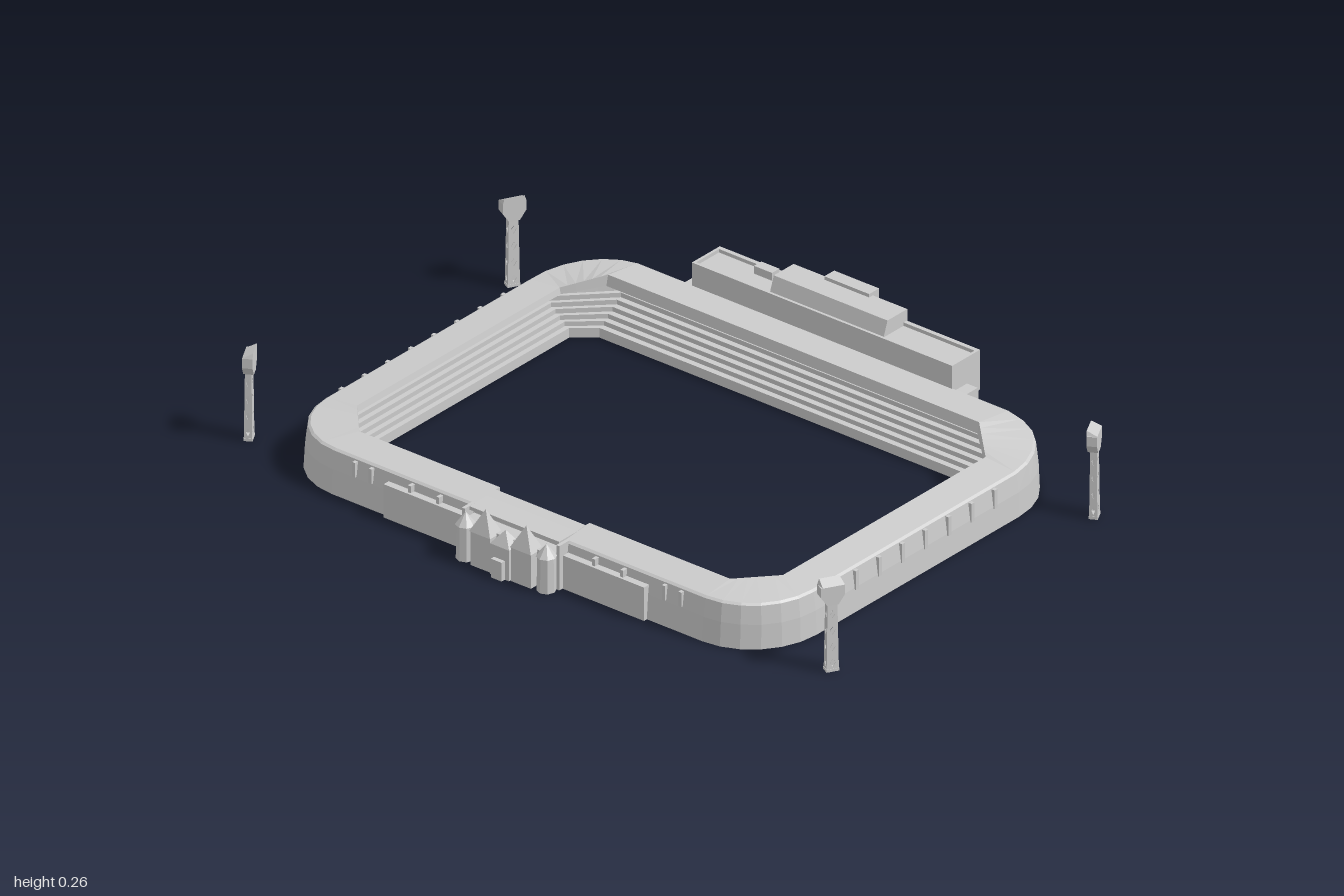
import * as THREE from 'three';

const grey = new THREE.MeshStandardMaterial({ color: 0xcccccc, flatShading: true, side: THREE.DoubleSide });

function add(parent, name, geo, x = 0, y = 0, z = 0) {
  const m = new THREE.Mesh(geo, grey);
  m.name = name;
  m.position.set(x, y, z);
  parent.add(m);
  return m;
}

// Box given by its minimum and maximum corners
function block(parent, name, x0, x1, y0, y1, z0, z1) {
  return add(parent, name, new THREE.BoxGeometry(x1 - x0, y1 - y0, z1 - z0), (x0 + x1) / 2, (y0 + y1) / 2, (z0 + z1) / 2);
}

const polygon = pts => new THREE.Shape(pts.map(p => new THREE.Vector2(p[0], p[1])));
const extrude = (shape, depth) => new THREE.ExtrudeGeometry(shape, { depth, bevelEnabled: false });

// Square pyramid roof aligned with the axes
function spire(parent, name, x, y, z, w, d, h) {
  const g = new THREE.ConeGeometry(Math.SQRT1_2, 1, 4);
  g.rotateY(Math.PI / 4);
  g.scale(w, h, d);
  return add(parent, name, g, x, y + h / 2, z);
}

// Stand ring: cross-section lofted around a rounded rectangle
function bowlGeometry() {
  const cx = 0.62, cf = 0.43, cb = 0.39;
  // half width, back z, front z, height, extra height at the back, chamfered corner
  const rings = [
    [0.825, -0.61, 0.645, 0, 0, 0],
    [0.822, -0.607, 0.64, 0.07, 0.005, 0],
    [0.815, -0.60, 0.633, 0.122, 0.025, 0],
    [0.808, -0.593, 0.626, 0.127, 0.027, 0],
    [0.712, -0.475, 0.532, 0.136, 0.034, 1],
    [0.708, -0.468, 0.53, 0.118, 0.022, 1],
    [0.775, -0.55, 0.595, 0.112, 0.015, 1]
  ];
  const steps = 6;
  for (let i = 0; i < steps; i++) {
    const k = i / steps, k2 = (i + 1) / steps, y = 0.095 - 0.08 * k;
    const at = (t, yy) => rings.push([0.77 - 0.09 * t, -0.545 + 0.105 * t, 0.59 - 0.1 * t, yy, 0, 1]);
    at(k, y);
    at(k2, y);
  }
  rings.push([0.68, -0.44, 0.49, 0, 0, 1]);

  const stations = [{ x: 0.15, gap: true }, { x: 0.15 }];
  const corner = (sx, sz, up) => {
    for (let i = 0; i <= 6; i++) stations.push({ sx, sz, t: up ? i / 6 : 1 - i / 6 });
  };
  corner(1, 1, false);
  corner(1, -1, true);
  corner(-1, -1, false);
  corner(-1, 1, true);
  stations.push({ x: -0.15 }, { x: -0.15, gap: true });

  const point = (s, [hx, zb, zf, y, rise, chamfer]) => {
    if (s.x !== undefined) return [s.x, y, s.gap ? Math.max(zf, 0.548) : zf];
    const a = s.t * Math.PI / 2;
    const u = chamfer ? 1 - s.t : Math.cos(a), v = chamfer ? s.t : Math.sin(a);
    const z = s.sz > 0 ? cf + (zf - cf) * v : -cb + (zb + cb) * v;
    return [s.sx * (cx + (hx - cx) * u), y + (s.sz < 0 ? rise * s.t : 0), z];
  };

  const pos = [];
  stations.forEach((s, i) => {
    const n = stations[(i + 1) % stations.length];
    rings.forEach((r, j) => {
      const q = rings[(j + 1) % rings.length];
      const a = point(s, r), b = point(n, r), c = point(n, q), d = point(s, q);
      pos.push(...a, ...b, ...c, ...a, ...c, ...d);
    });
  });
  const g = new THREE.BufferGeometry();
  g.setAttribute('position', new THREE.Float32BufferAttribute(pos, 3));
  g.computeVertexNormals();
  return g;
}

// Main entrance with pointed roofs
function entrance() {
  const g = new THREE.Group();
  g.name = 'entrance';
  block(g, 'entranceHall', -0.15, 0.15, 0, 0.105, 0.63, 0.685);
  block(g, 'entranceRoof', -0.15, 0.15, 0.122, 0.132, 0.575, 0.655);
  block(g, 'porch', -0.032, 0.032, 0, 0.09, 0.68, 0.715);
  spire(g, 'porchRoof', 0, 0.09, 0.69, 0.064, 0.05, 0.04);
  block(g, 'doorFrame', -0.018, 0.018, 0, 0.055, 0.715, 0.728);
  for (const s of [-1, 1]) {
    block(g, 'gateTower', s * 0.068 - 0.033, s * 0.068 + 0.033, 0, 0.1, 0.66, 0.71);
    spire(g, 'gateTowerRoof', s * 0.068, 0.1, 0.688, 0.07, 0.05, 0.066);
    add(g, 'sideTurret', new THREE.CylinderGeometry(0.024, 0.026, 0.1, 8), s * 0.135, 0.05, 0.688);
    add(g, 'sideTurretRoof', new THREE.ConeGeometry(0.028, 0.036, 8), s * 0.135, 0.118, 0.688);
    block(g, 'sidePier', s * 0.158 - 0.005, s * 0.158 + 0.005, 0, 0.13, 0.63, 0.67);
  }
  return g;
}

// Office block behind the main stand
function backBuilding() {
  const g = new THREE.Group();
  g.name = 'backBuilding';
  block(g, 'lowerStorey', -0.435, 0.435, 0, 0.11, -0.675, -0.59);
  block(g, 'upperStorey', -0.435, 0.435, 0.11, 0.212, -0.69, -0.59);
  const top = extrude(polygon([[0.605, 0.2], [0.625, 0.255], [0.705, 0.255], [0.705, 0.2]]), 0.38);
  top.rotateY(Math.PI / 2);
  add(g, 'topStorey', top, -0.19, 0, 0);
  block(g, 'stairWing', -0.16, 0.16, 0, 0.245, -0.715, -0.67);
  block(g, 'stairTower', -0.075, 0.075, 0, 0.265, -0.73, -0.69);
  block(g, 'roofHut', -0.285, -0.225, 0.21, 0.235, -0.69, -0.66);
  block(g, 'parapetFront', -0.435, 0.435, 0.21, 0.222, -0.598, -0.59);
  for (const s of [-1, 1]) {
    // Facade with two rows of window openings
    const wall = polygon([[0.16, 0.105], [0.435, 0.105], [0.435, 0.222], [0.16, 0.222]]);
    for (let i = 0; i < 6; i++) for (const y of [0.135, 0.178]) {
      const x = 0.175 + i * 0.043;
      wall.holes.push(new THREE.Path([[x, y], [x, y + 0.024], [x + 0.024, y + 0.024], [x + 0.024, y]].map(p => new THREE.Vector2(...p))));
    }
    const geo = extrude(wall, 0.013);
    if (s < 0) geo.translate(-0.595, 0, 0);
    add(g, 'windowWall', geo, 0, 0, -0.703);
    block(g, 'parapetEnd', s * 0.431 - 0.004, s * 0.431 + 0.004, 0.21, 0.222, -0.69, -0.59);
    block(g, 'sideAnnex', s * 0.453 - 0.018, s * 0.453 + 0.018, 0, 0.145, -0.65, -0.59);
    for (const x of [0.2, 0.28, 0.35, 0.425]) block(g, 'pier', s * x - 0.008, s * x + 0.008, 0, 0.11, -0.7, -0.67);
    block(g, 'lowBay', s * 0.24 - 0.035, s * 0.24 + 0.035, 0, 0.088, -0.718, -0.67);
  }
  return g;
}

// Floodlight mast: perforated tapering shaft and flared lamp head
function floodlight(x, z) {
  const g = new THREE.Group();
  g.name = 'floodlight';
  for (let k = 0; k < 4; k++) {
    const w = k % 2 ? 0.011 : 0.017, off = k % 2 ? 0.017 : 0.011;
    const plate = polygon([[-w, 0], [w, 0], [w * 0.8, 0.2], [-w * 0.8, 0.2]]);
    for (const y of [0.025, 0.072, 0.12, 0.168]) {
      const h = w * 0.45;
      plate.holes.push(new THREE.Path([[0, y - 0.012], [-h, y], [0, y + 0.012], [h, y]].map(p => new THREE.Vector2(...p))));
    }
    const geo = extrude(plate, 0.002);
    geo.translate(0, 0, off - 0.002);
    const p = geo.attributes.position;
    for (let i = 0; i < p.count; i++) p.setZ(i, p.getZ(i) * (1 - p.getY(i)));
    geo.rotateY(k * Math.PI / 2);
    add(g, 'mastPlate', geo);
  }
  block(g, 'mastFoot', -0.018, 0.018, 0, 0.008, -0.012, 0.012);
  const head = extrude(polygon([[-0.015, 0.195], [0.015, 0.195], [0.033, 0.222], [0.033, 0.25], [0.028, 0.265], [-0.028, 0.265], [-0.033, 0.25], [-0.033, 0.222]]), 0.028);
  const hp = head.attributes.position;
  for (let i = 0; i < hp.count; i++) if (hp.getY(i) > 0.26 && hp.getZ(i) < 0.01) hp.setY(i, 0.25);
  add(g, 'lampHead', head, 0, 0, -0.013);
  g.position.set(x, 0, z);
  g.rotation.y = Math.atan2(-x, -z);
  return g;
}

export function createModel() {
  const model = new THREE.Group();
  model.name = 'stadium';
  add(model, 'standRing', bowlGeometry());

  // Ribs along the outer walls
  for (const s of [-1, 1]) {
    for (let i = 0; i < 8; i++) {
      const z = 0.36 - i * 0.0935;
      block(model, 'sideRib', s * 0.819 - 0.007, s * 0.819 + 0.007, 0.065, 0.12, z - 0.006, z + 0.006);
    }
    for (const x of [0.49, 0.545]) {
      block(model, 'frontRib', s * x - 0.005, s * x + 0.005, 0.075, 0.118, 0.63, 0.645);
      block(model, 'backRib', s * x - 0.005, s * x + 0.005, 0.075, 0.125, -0.612, -0.6);
    }
    // Low front annex
    block(model, 'frontAnnex', s * 0.3 - 0.135, s * 0.3 + 0.135, 0, 0.098, 0.62, 0.657);
    for (const x of [0.26, 0.355]) block(model, 'annexRib', s * x - 0.005, s * x + 0.005, 0.09, 0.118, 0.63, 0.65);
    model.add(floodlight(s * 0.973, -0.515), floodlight(s * 0.973, 0.55));
  }

  model.add(entrance(), backBuilding());
  return model;
}
